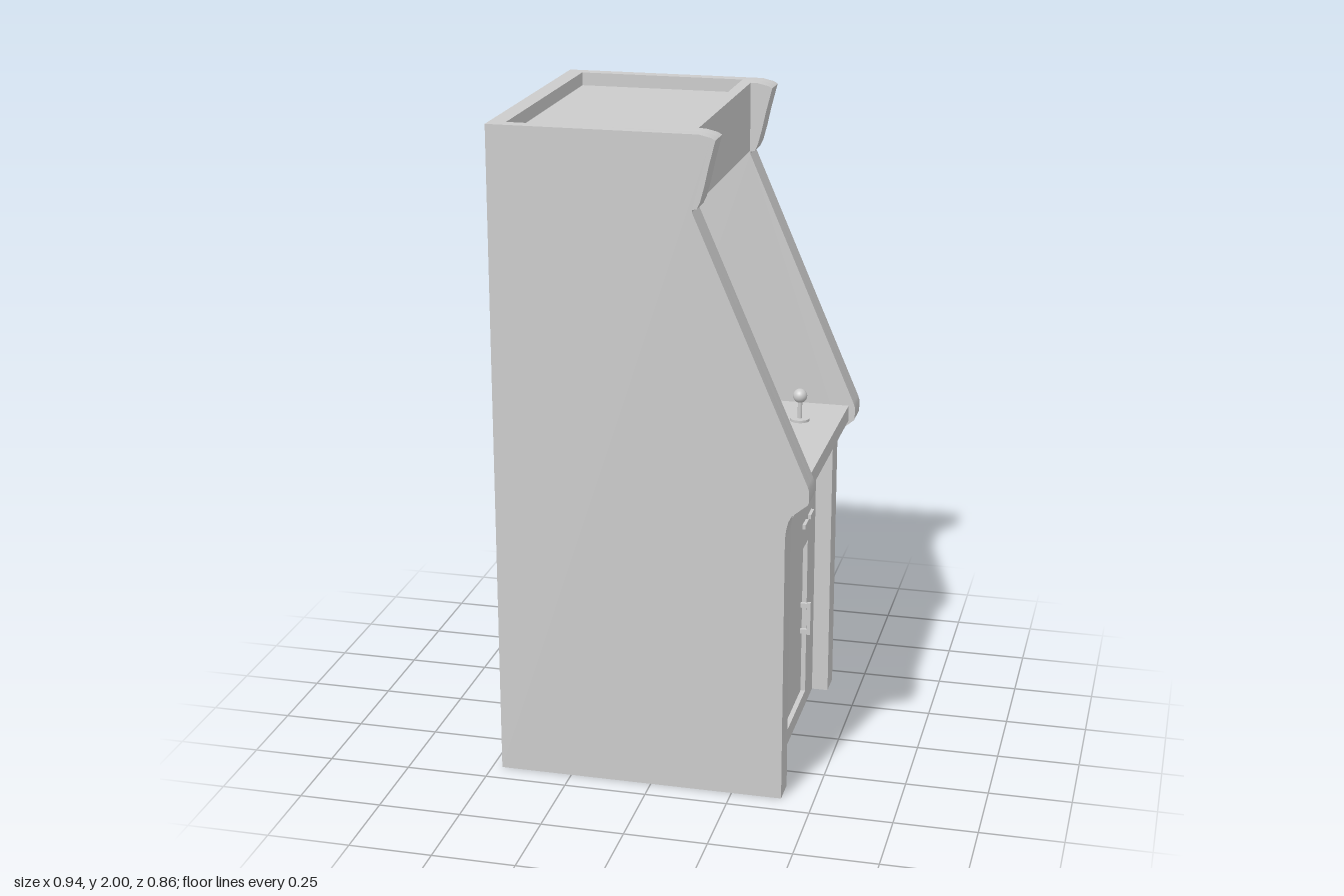
import * as THREE from 'three';
import { toCreasedNormals } from 'three/addons/utils/BufferGeometryUtils.js';

const grey = new THREE.MeshStandardMaterial({ color: 0xcccccc });
grey.name = 'cabinet grey';

const TILT = Math.atan2(0.345, 0.795); // lean of the display face

function add(parent, name, geometry, x = 0, y = 0, z = 0) {
  const mesh = new THREE.Mesh(geometry, grey);
  mesh.name = name;
  mesh.position.set(x, y, z);
  parent.add(mesh);
  return mesh;
}

// Extrude an x/y outline between two z positions, keeping only real corners sharp
function slab(points, z0, z1) {
  const shape = new THREE.Shape(points.map(([x, y]) => new THREE.Vector2(x, y)));
  const geo = new THREE.ExtrudeGeometry(shape, { depth: z1 - z0, bevelEnabled: false });
  geo.translate(0, 0, z0);
  return toCreasedNormals(geo, 0.5);
}

// Flat plate with a rectangular hole; rectangles are [x0, y0, x1, y1]
function framePlate(outer, hole, depth) {
  const rect = ([x0, y0, x1, y1], Type) => new Type([
    new THREE.Vector2(x0, y0), new THREE.Vector2(x1, y0),
    new THREE.Vector2(x1, y1), new THREE.Vector2(x0, y1)]);
  const shape = rect(outer, THREE.Shape);
  shape.holes.push(rect(hole, THREE.Path));
  const geo = new THREE.ExtrudeGeometry(shape, { depth, bevelEnabled: false });
  geo.translate(0, 0, -depth);
  return geo;
}

export function createModel() {
  const model = new THREE.Group();
  model.name = 'arcadeCabinet';

  // Side panels: full silhouette outside, with the roof tray cut into the inner layer
  const front = [
    [-0.47, 0], [0.402, 0], [0.402, 0.83], [0.405, 0.86], [0.411, 0.885], [0.421, 0.905],
    [0.436, 0.917], [0.467, 0.942], [0.47, 0.95], [0.47, 0.985], [0.465, 1.0],
    [0.126, 1.78], [0.127, 1.787], [0.14, 1.79], [0.149, 1.81], [0.161, 1.855],
    [0.173, 1.91], [0.192, 1.985], [0.18, 1.992], [0.145, 2]];
  const tray = [[0.09, 2], [0.09, 1.96], [-0.42, 1.96], [-0.42, 2], [-0.47, 2]];
  for (const [side, s] of [['left', 1], ['right', -1]]) {
    const span = (a, b) => (s > 0 ? [a, b] : [-b, -a]);
    add(model, side + 'SidePanel', slab([...front, [-0.47, 2]], ...span(0.39, 0.43)));
    add(model, side + 'InnerPanel', slab([...front, ...tray], ...span(0.345, 0.39)));
  }

  // Core: front wall, control deck, header, roof tray and rear recess
  add(model, 'cabinetCore', slab([
    [-0.47, 0], [0.335, 0], [0.335, 0.6], [0.35, 0.6], [0.35, 0.82], [0.353, 0.85],
    [0.361, 0.878], [0.374, 0.902], [0.392, 0.921], [0.416, 0.934], [0.45, 0.94],
    [0.45, 0.99], [0.136, 0.99], [-0.211, 1.79], [0.125, 1.79], [0.125, 2],
    ...tray, [-0.47, 0.75], [-0.40, 0.75], [-0.40, 0.11], [-0.47, 0.11]], -0.345, 0.345));

  // Front skin with the sunken door; local x runs toward -z
  const face = new THREE.Group();
  face.name = 'frontPanel';
  face.rotation.y = Math.PI / 2;
  face.position.x = 0.35;
  model.add(face);
  add(face, 'doorSurround', framePlate([-0.345, 0, 0.345, 0.6], [-0.1, 0.05, 0.22, 0.575], 0.015));
  add(face, 'coinPanel', new THREE.BoxGeometry(0.45, 0.17, 0.03), -0.005, 0.695, 0);
  for (const x of [0.07, 0.16]) {
    add(face, 'coinSlot', new THREE.BoxGeometry(0.055, 0.014, 0.014), x, 0.687, 0.018);
  }
  add(face, 'doorHandle', new THREE.BoxGeometry(0.012, 0.11, 0.012), 0.197, 0.315, 0.012);
  for (const y of [0.27, 0.36]) {
    add(face, 'handlePost', new THREE.BoxGeometry(0.012, 0.015, 0.026), 0.197, y, -0.003);
  }

  // Leaning display: bezel and gently bulging screen
  const display = new THREE.Group();
  display.name = 'display';
  display.rotation.set(0, Math.PI / 2, TILT, 'ZYX');
  display.position.set(0.207, 0.99, 0);
  model.add(display);
  add(display, 'bezel', framePlate([-0.345, 0, 0.345, 0.9], [-0.3, 0.054, 0.3, 0.818], 0.058));
  const glass = new THREE.PlaneGeometry(0.6, 0.764, 16, 16);
  const p = glass.attributes.position;
  for (let i = 0; i < p.count; i++) {
    const u = p.getX(i) / 0.3, v = p.getY(i) / 0.382;
    p.setZ(i, 0.02 * (1 - u * u) * (1 - v * v));
  }
  glass.computeVertexNormals();
  add(display, 'screen', glass, 0, 0.436, -0.055);

  // Joysticks
  for (const z of [-0.17, 0.17]) {
    const stick = new THREE.Group();
    stick.name = 'joystick';
    stick.position.set(0.327, 0.99, z);
    model.add(stick);
    add(stick, 'joystickBase', new THREE.CylinderGeometry(0.03, 0.03, 0.008, 32), 0, 0.004);
    add(stick, 'joystickShaft', new THREE.CylinderGeometry(0.007, 0.007, 0.07, 16), 0, 0.035);
    add(stick, 'joystickBall', new THREE.SphereGeometry(0.022, 24, 16), 0, 0.08);
  }
  return model;
}
